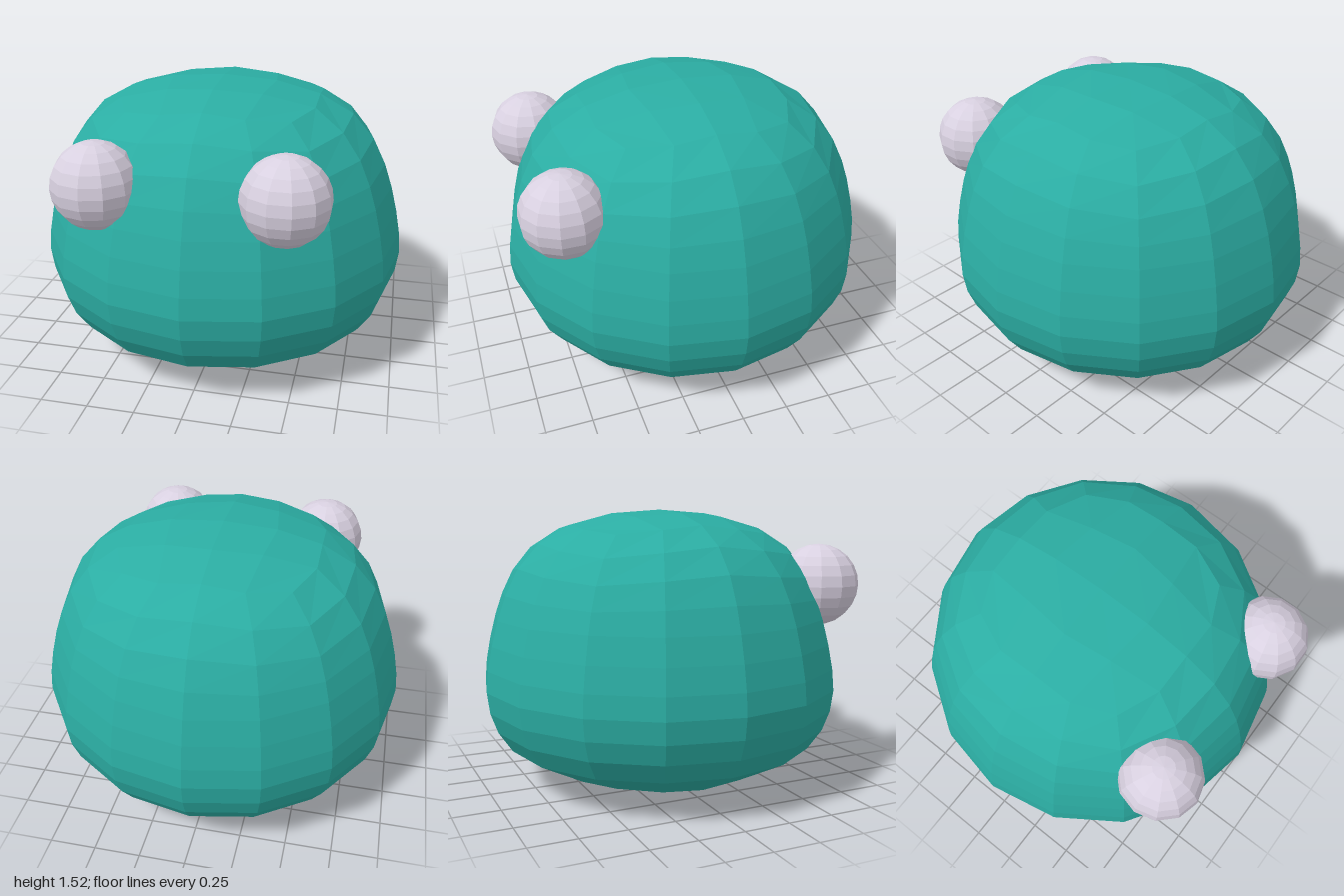
import * as THREE from 'three';

// Body profile, bottom to top: [radius, height, extra reach of the square grid's corners]
const PROFILE = [
  [0, 0.005, 0], [0.29, 0.022, 0.22], [0.56, 0.065, 0.12],
  [0.87, 0.23, 0], [0.945, 0.34, 0], [0.985, 0.45, 0], [1, 0.565, 0], [0.99, 0.68, 0],
  [0.965, 0.81, 0], [0.93, 0.945, 0], [0.885, 1.075, 0.01], [0.815, 1.215, 0.03], [0.7, 1.345, 0.07],
  [0.52, 1.445, 0.16], [0.285, 1.505, 0.25], [0, 1.525, 0],
];
const LAST = PROFILE.length - 1;
const WIDEST = 6;

// Height of the profile at radius r, walking from row k towards the widest row
function heightAt(k, r) {
  const step = Math.sign(WIDEST - k);
  while (k !== WIDEST && PROFILE[k + step][0] < r) k += step;
  if (k === WIDEST) return PROFILE[k][1];
  const [r0, y0] = PROFILE[k];
  const [r1, y1] = PROFILE[k + step];
  return THREE.MathUtils.lerp(y0, y1, Math.max(0, (r - r0) / (r1 - r0)));
}

// A gridded box whose square rings are bent round to follow the profile
function bodyGeometry() {
  const rows = LAST - 4;
  const box = new THREE.BoxGeometry(2, 2, 2, 4, rows, 4);
  const pos = box.attributes.position;
  for (let i = 0; i < pos.count; i++) {
    const x = pos.getX(i), y = pos.getY(i), z = pos.getZ(i);
    const ring = Math.max(Math.abs(x), Math.abs(z));
    let k = 2 + Math.round((y + 1) / 2 * rows);
    if (ring < 0.99) k = y > 0 ? LAST - Math.round(ring * 2) : Math.round(ring * 2);
    const alongZ = Math.abs(z) >= Math.abs(x);
    const major = alongZ ? z : x, minor = alongZ ? x : z;
    const angle = ring > 0 ? Math.PI / 4 * minor / major : 0;
    const [radius, , reach] = PROFILE[k];
    const r = radius * (1 + reach * Math.sin(2 * angle) ** 2);
    const a = Math.sign(major) * r * Math.cos(angle);
    const b = Math.sign(major) * r * Math.sin(angle);
    pos.setXYZ(i, alongZ ? b : a, heightAt(k, r), alongZ ? a : b);
  }
  box.computeVertexNormals();
  return box;
}

export function createModel() {
  const model = new THREE.Group();
  model.name = 'roundCreature';

  const teal = new THREE.MeshStandardMaterial({ color: 0x2bada3, flatShading: true });
  const pale = new THREE.MeshStandardMaterial({ color: 0xd8d0e0, flatShading: true });

  const body = new THREE.Mesh(bodyGeometry(), teal);
  body.name = 'body';
  model.add(body);

  // Eyes, half sunk in the body
  const eyeGeometry = new THREE.SphereGeometry(0.222, 12, 12);
  for (const [name, x, z, turn] of [['leftEye', 0.455, 0.753, Math.PI / 12], ['rightEye', -0.478, 0.745, 0]]) {
    const eye = new THREE.Mesh(eyeGeometry, pale);
    eye.name = name;
    eye.position.set(x, 1.118, z);
    eye.rotation.y = turn;
    model.add(eye);
  }
  return model;
}
